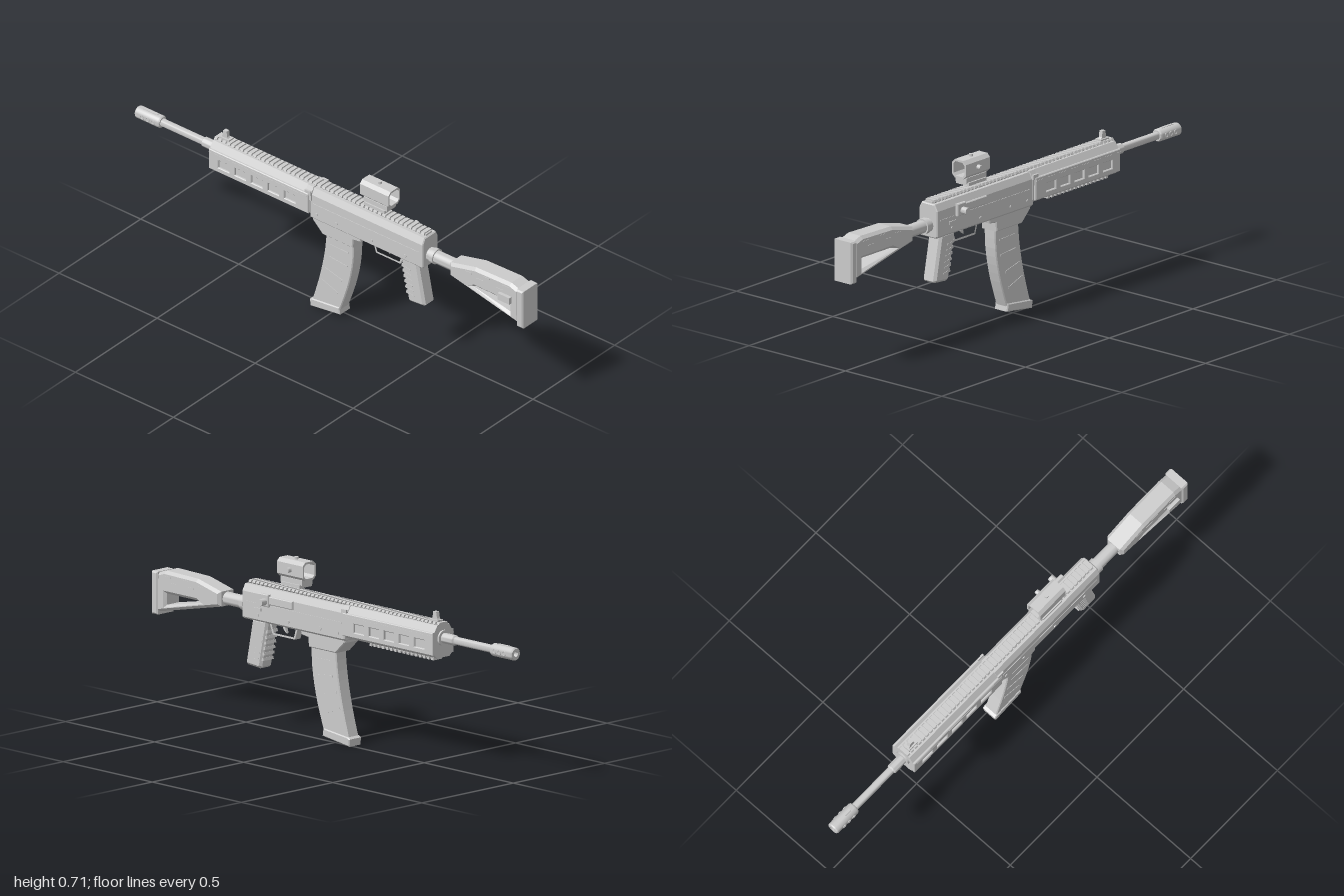
import * as THREE from 'three';
import { toCreasedNormals } from 'three/addons/utils/BufferGeometryUtils.js';

const mat = new THREE.MeshStandardMaterial({ color: 0xcccccc });

export function createModel() {
  const root = new THREE.Group();
  const body = new THREE.Group();
  body.name = 'rifle';
  body.position.x = -0.015;
  root.add(body);

  const add = (name, geo, x = 0, y = 0, z = 0) => {
    const m = new THREE.Mesh(geo, mat);
    m.name = name;
    m.position.set(x, y, z);
    body.add(m);
    return m;
  };
  const box = (name, w, h, d, x, y, z) => add(name, new THREE.BoxGeometry(w, h, d), x, y, z);
  const poly = (pts, holes = []) => {
    const s = new THREE.Shape(pts.map(p => new THREE.Vector2(...p)));
    s.holes = holes.map(h => new THREE.Path(h.map(p => new THREE.Vector2(...p))));
    return s;
  };
  const extrude = (shape, depth, bevel) => new THREE.ExtrudeGeometry(shape, {
    depth: depth - 2 * bevel, bevelEnabled: bevel > 0, bevelThickness: bevel,
    bevelSize: bevel, bevelOffset: -bevel, bevelSegments: 1,
  }).translate(0, 0, bevel - depth / 2);
  // side outline in [z, y], given a width across x
  const side = (name, pts, width, { holes, bevel = 0, x = 0 } = {}) =>
    add(name, extrude(poly(pts, holes), width, bevel).rotateY(-Math.PI / 2), x);
  // cross-section in [x, y], swept from z0 to z1
  const section = (name, pts, z0, z1, { holes, bevel = 0 } = {}) =>
    add(name, extrude(poly(pts, holes), z1 - z0, bevel), 0, 0, (z0 + z1) / 2);
  // right half of a symmetric cross-section, bottom to top
  const mirror = half => [...half, ...half.map(([x, y]) => [-x, y]).reverse()];
  const rect = (a0, a1, b0, b1) => [[a0, b0], [a1, b0], [a1, b1], [a0, b1]];
  // round part along z from [radius, z] points, rear to muzzle
  const turned = (name, pts, y) => add(name, toCreasedNormals(
    new THREE.LatheGeometry(pts.map(([r, z]) => new THREE.Vector2(r, -z)), 24).rotateX(-Math.PI / 2), 0.6), 0, y);
  const pin = (name, r, len, x, y, z) =>
    add(name, toCreasedNormals(new THREE.CylinderGeometry(r, r, len, 16).rotateZ(Math.PI / 2), 0.6), x, y, z);

  // Stock with triangular opening, and butt pad
  side('stock', [[0.975, 0.37], [0.62, 0.447], [0.62, 0.507], [0.75, 0.538], [0.93, 0.542], [0.975, 0.527]], 0.088,
    { holes: [[[0.925, 0.405], [0.925, 0.45], [0.75, 0.45], [0.73, 0.444]]], bevel: 0.012 });
  side('buttPad', rect(0.966, 1, 0.36, 0.532), 0.096, { bevel: 0.006 });
  box('slingMount', 0.016, 0.03, 0.06, -0.05, 0.47, 0.91);
  for (const s of [-1, 1]) for (const [z, y] of [[0.91, 0.52], [0.81, 0.52], [0.72, 0.508], [0.88, 0.497], [0.78, 0.497]])
    box('stockRib', 0.003, 0.004, 0.035, s * 0.044, y, z);

  // Tube between receiver and stock
  turned('stockTube', [[0, 0.64], [0.026, 0.64], [0.026, 0.525], [0.032, 0.525], [0.032, 0.505],
    [0.028, 0.505], [0.028, 0.48], [0, 0.48]], 0.476);

  // Receiver and magazine well
  section('receiver', mirror([[0.04, 0.425], [0.048, 0.433], [0.048, 0.537], [0.034, 0.564]]), -0.085, 0.49, { bevel: 0.004 });
  side('magazineWell', [[0.17, 0.43], [0.165, 0.41], [0.128, 0.405], [0.125, 0.367], [-0.028, 0.367], [-0.078, 0.415], [-0.08, 0.43]],
    0.08, { bevel: 0.004 });
  section('receiverFrontCollar', mirror([[0.052, 0.51], [0.052, 0.54], [0.036, 0.568]]), -0.105, -0.075);
  for (const s of [-1, 1]) {
    box('receiverSeam', 0.004, 0.005, 0.54, s * 0.048, 0.497, 0.2);
    box('frontLatch', 0.008, 0.02, 0.03, s * 0.053, 0.545, -0.09);
    for (const [z, y] of [[0.4, 0.452], [0.23, 0.452], [0.05, 0.455], [-0.05, 0.455]])
      pin('receiverPin', 0.007, 0.006, s * 0.048, y, z);
  }

  // Ejection cover, charging handle and selector on one side
  side('ejectionCover', rect(0.2, 0.375, 0.505, 0.538), 0.012, { bevel: 0.003, x: 0.05 });
  side('handleSlide', rect(0.33, 0.38, 0.495, 0.545), 0.016, { bevel: 0.003, x: 0.052 });
  pin('chargingHandle', 0.014, 0.038, 0.068, 0.515, 0.35);
  box('selector', 0.006, 0.012, 0.04, 0.049, 0.475, 0.4);

  // Handguard: core with open-windowed side plates
  section('handguardCore', mirror([[0.034, 0.437], [0.05, 0.453], [0.05, 0.54], [0.032, 0.568]]), -0.592, -0.08);
  const windows = [0, 1, 2, 3, 4].map(i => rect(-0.206 - i * 0.0845, -0.15 - i * 0.0845, 0.472, 0.506));
  for (const s of [-1, 1]) {
    side('handguardSide', rect(-0.592, -0.085, 0.45, 0.542), 0.012, { holes: windows, bevel: 0.003, x: s * 0.054 });
    box('handguardTopLine', 0.008, 0.004, 0.5, s * 0.057, 0.528, -0.34);
  }
  box('lowerRail', 0.036, 0.01, 0.36, 0, 0.434, -0.38);
  for (let i = 0; i < 16; i++) box('lowerRailTooth', 0.046, 0.01, 0.012, 0, 0.427, -0.206 - i * 0.0232);

  // Top rail with cross teeth
  box('topRail', 0.036, 0.012, 1.07, 0, 0.566, -0.052);
  const tooth = mirror([[0.018, 0.563], [0.025, 0.57], [0.021, 0.578]]);
  for (let i = 0; i < 49; i++) {
    const z = 0.47 - i * 0.022;
    section('railTooth', tooth, z - 0.007, z + 0.007);
  }

  // Front sight
  side('frontSight', [[-0.525, 0.57], [-0.575, 0.57], [-0.565, 0.59], [-0.56, 0.615], [-0.543, 0.615], [-0.54, 0.59]], 0.016);
  box('frontSightBase', 0.03, 0.014, 0.05, 0, 0.577, -0.55);

  // Barrel and muzzle brake
  turned('barrel', [[0, -0.58], [0.032, -0.58], [0.032, -0.6], [0.021, -0.6], [0.021, -0.66],
    [0.016, -0.665], [0.016, -0.885], [0, -0.885]], 0.515);
  turned('muzzleBrake', [[0, -0.875], [0.022, -0.875], [0.026, -0.881], [0.026, -0.995], [0.022, -1],
    [0.011, -1], [0.011, -0.93], [0, -0.93]], 0.515);
  for (const s of [-1, 1]) for (let i = 0; i < 3; i++) {
    const rim = new THREE.TorusGeometry(0.0085, 0.002, 6, 14).rotateY(Math.PI / 2);
    add('brakePort', rim, s * 0.0255, 0.515, -0.905 - i * 0.027);
  }
  side('brakeTopSlot', rect(-0.97, -0.9, 0.538, 0.542), 0.012);

  // Reflex sight: octagonal tube, mount and knobs
  const oct = (hw, y0, y1, c) => mirror([[hw - c, y0], [hw, y0 + c], [hw, y1 - c], [hw - c, y1]]);
  section('sightTube', oct(0.036, 0.622, 0.697, 0.014), 0.16, 0.305, { holes: [oct(0.028, 0.63, 0.689, 0.01)] });
  box('sightMount', 0.056, 0.022, 0.12, 0, 0.613, 0.232);
  box('sightClamp', 0.068, 0.013, 0.105, 0, 0.598, 0.232);
  add('sightTopKnob', toCreasedNormals(new THREE.CylinderGeometry(0.008, 0.008, 0.014, 16), 0.6), 0, 0.7, 0.232);
  pin('sightSideKnob', 0.01, 0.02, 0.043, 0.659, 0.232);

  // Pistol grip with finger ridges
  side('grip', [[0.45, 0.43], [0.487, 0.245], [0.48, 0.238], [0.41, 0.232], [0.4, 0.24], [0.362, 0.43]], 0.067, { bevel: 0.01 });
  for (let i = 0; i < 6; i++) {
    const y = 0.385 - 0.023 * i, z = 0.373 + 0.0046 * i;
    box('gripRidge', 0.056, 0.012, 0.014, 0, y, z).rotation.x = 0.2;
    for (const s of [-1, 1]) box('gripSideRidge', 0.003, 0.005, 0.03, s * 0.0335, y, z + 0.027).rotation.x = 0.2;
  }

  // Trigger guard and trigger
  side('triggerGuard', [[0.372, 0.43], [0.35, 0.376], [0.225, 0.376], [0.208, 0.43]], 0.03,
    { holes: [[[0.36, 0.424], [0.344, 0.384], [0.231, 0.384], [0.219, 0.424]]] });
  side('trigger', [[0.305, 0.43], [0.3, 0.405], [0.282, 0.39], [0.288, 0.41], [0.285, 0.43]], 0.012);

  // Curved magazine with slanted ribs and floor plate
  const curve = pts => new THREE.SplineCurve(pts.map(p => new THREE.Vector2(...p))).getPoints(10).map(p => [p.x, p.y]);
  const back = curve([[0.123, 0.4], [0.117, 0.28], [0.092, 0.16], [0.05, 0.035]]);
  const front = curve([[-0.016, 0.4], [-0.028, 0.28], [-0.055, 0.15], [-0.09, 0.03]]);
  side('magazine', [...back, ...front.reverse()], 0.058, { bevel: 0.004 });
  side('magazineBase', [[0.05, 0.052], [0.055, 0.02], [-0.096, 0], [-0.1, 0.03], [-0.088, 0.037]], 0.067, { bevel: 0.004 });
  for (const s of [-1, 1])
    for (const [y, z, tilt] of [[0.325, 0.05, 0.03], [0.263, 0.045, 0.1], [0.195, 0.02, 0.25], [0.13, 0, 0.35]])
      box('magazineRib', 0.006, 0.008, 0.09, s * 0.028, y, z).rotation.x = tilt;

  return root;
}
